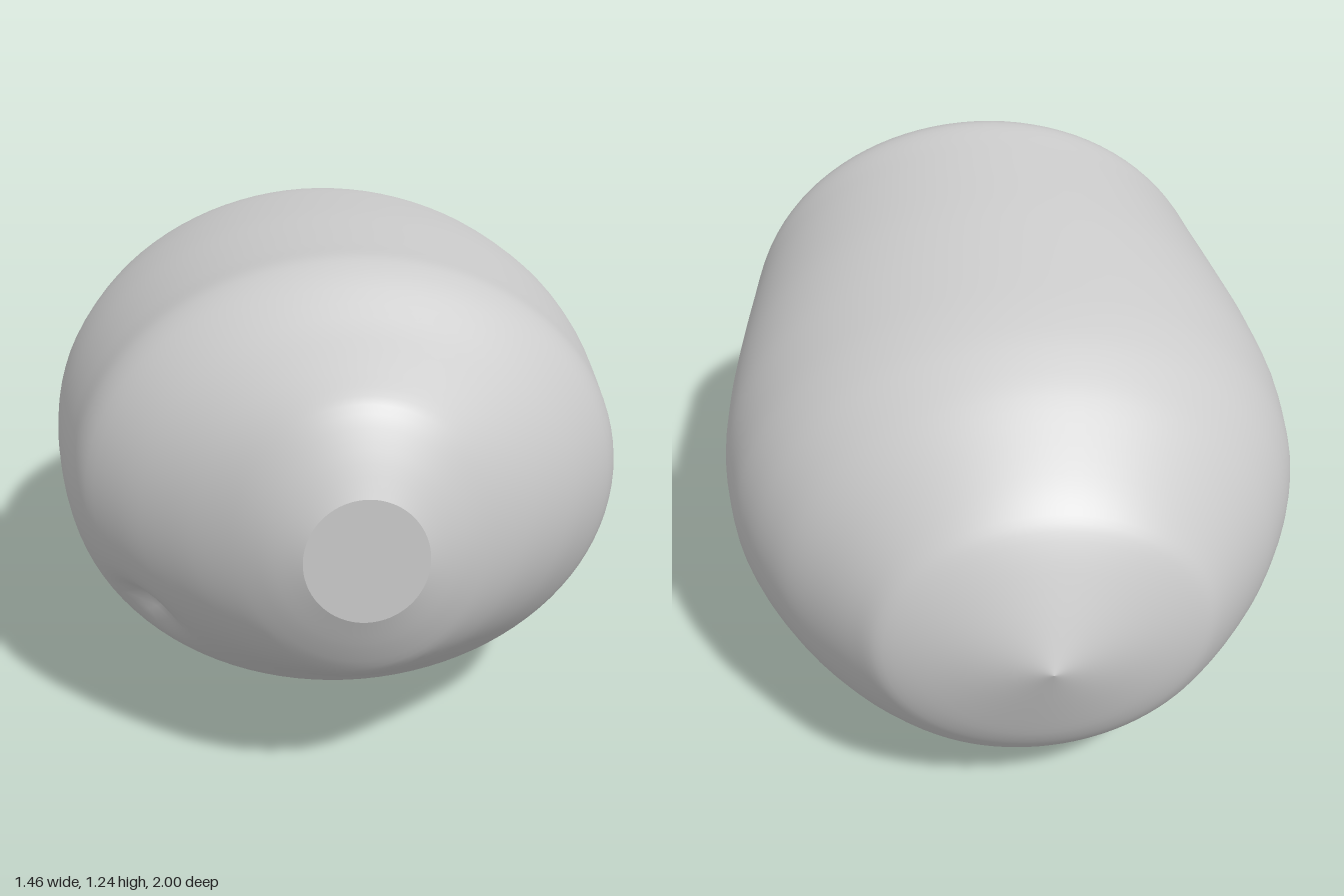
import * as THREE from 'three';

// Body stations, front to back: z, top, bottom, half width
const STATIONS = [
  [1, 0.86, 0.57, 0.135], [0.96, 0.95, 0.48, 0.21], [0.91, 1.035, 0.395, 0.285],
  [0.83, 1.08, 0.335, 0.39], [0.72, 1.135, 0.265, 0.51], [0.6, 1.21, 0.18, 0.61],
  [0.52, 1.235, 0.13, 0.645], [0.4, 1.23, 0.07, 0.67], [0.25, 1.222, 0.03, 0.695],
  [0.05, 1.21, 0.008, 0.72], [-0.15, 1.19, 0, 0.73], [-0.35, 1.165, 0.012, 0.705],
  [-0.48, 1.135, 0.03, 0.66], [-0.6, 1.08, 0.06, 0.595], [-0.7, 1.015, 0.1, 0.52],
  [-0.8, 0.945, 0.17, 0.44], [-0.86, 0.89, 0.24, 0.385], [-0.9, 0.82, 0.31, 0.3],
  [-0.95, 0.705, 0.44, 0.16], [-1, 0.58, 0.58, 0.001],
];
const SIDES = 96, STEPS = 4;
const DENT = new THREE.Vector3(-0.48, 0.42, 0.62);

const spline = (pick) => new THREE.CatmullRomCurve3(STATIONS.map(pick), false, 'catmullrom', 0.4);

// Oval rings lofted along z, with a small dimple low on one front side
function bodyGeometry() {
  const profile = spline(([z, top, bottom]) => new THREE.Vector3(z, top, bottom));
  const width = spline(([z, , , w]) => new THREE.Vector3(z, w, 0));
  const rings = (STATIONS.length - 1) * STEPS;
  const pos = [], index = [], p = new THREE.Vector3();
  for (let i = 0; i <= rings; i++) {
    const { x: z, y: top, z: bottom } = profile.getPoint(i / rings);
    const w = width.getPoint(i / rings).y;
    const mid = (top + bottom) / 2, h = (top - bottom) / 2;
    for (let j = 0; j < SIDES; j++) {
      const a = (j / SIDES) * Math.PI * 2;
      p.set(w * Math.cos(a), mid + h * Math.sin(a), z);
      const k = 0.045 * Math.exp(-p.distanceToSquared(DENT) / 0.0045);
      p.x -= k * Math.cos(a);
      p.y -= k * Math.sin(a);
      p.z -= k * 0.5;
      pos.push(p.x, p.y, p.z);
      if (i < rings) {
        const n = (j + 1) % SIDES, r = i * SIDES, s = r + SIDES;
        index.push(r + j, s + j, r + n, s + j, s + n, r + n);
      }
    }
  }
  const g = new THREE.BufferGeometry();
  g.setAttribute('position', new THREE.Float32BufferAttribute(pos, 3));
  g.setIndex(index);
  g.computeVertexNormals();
  return g;
}

export function createModel() {
  const group = new THREE.Group();
  group.name = 'roundedBody';
  const grey = new THREE.MeshStandardMaterial({ color: 0xcccccc });
  grey.name = 'lightGrey';

  const body = new THREE.Mesh(bodyGeometry(), grey);
  body.name = 'body';
  group.add(body);

  // Flat front end
  const cap = new THREE.Mesh(new THREE.CircleGeometry(1, SIDES), grey);
  cap.name = 'frontCap';
  cap.scale.set(0.135, 0.145, 1);
  cap.position.set(0, 0.715, 1);
  group.add(cap);

  return group;
}
